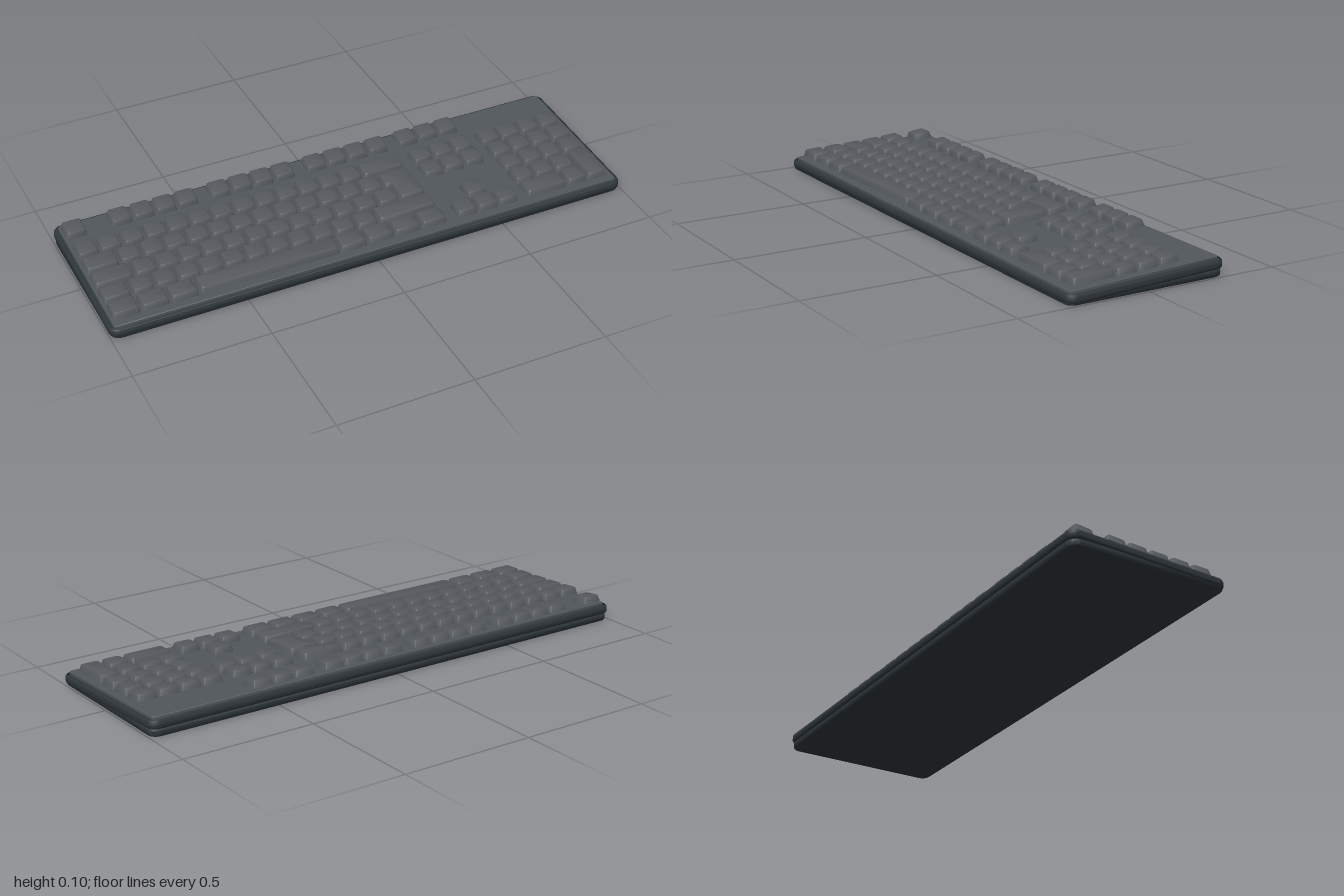
import * as THREE from 'three';
import { toCreasedNormals } from 'three/addons/utils/BufferGeometryUtils.js';

const U = 0.085;   // key pitch
const GAP = 0.008; // space between key bases

// Closed solid through stacked rounded rectangles; sections are [width, depth, radius, y]
function loft(sections, steps = 4, crease = 0.7) {
  const rings = sections.map(([w, d, r, y]) => {
    const ring = [];
    for (let c = 0; c < 4; c++) {
      const sx = c === 0 || c === 3 ? 1 : -1, sz = c < 2 ? 1 : -1;
      for (let s = 0; s <= steps; s++) {
        const a = (c + s / steps) * Math.PI / 2;
        ring.push([sx * (w / 2 - r) + r * Math.cos(a), y, sz * (d / 2 - r) + r * Math.sin(a)]);
      }
    }
    return ring;
  });
  const pos = [], n = rings[0].length;
  const tri = (a, b, c) => pos.push(...a, ...b, ...c);
  const top = rings[rings.length - 1], bottom = rings[0];
  for (let i = 0; i < n; i++) {
    const j = (i + 1) % n;
    for (let k = 0; k < rings.length - 1; k++) {
      const lo = rings[k], up = rings[k + 1];
      tri(lo[i], up[i], lo[j]);
      tri(lo[j], up[i], up[j]);
    }
    tri([0, top[0][1], 0], top[j], top[i]);
    tri([0, bottom[0][1], 0], bottom[i], bottom[j]);
  }
  const g = new THREE.BufferGeometry();
  g.setAttribute('position', new THREE.Float32BufferAttribute(pos, 3));
  return toCreasedNormals(g, crease);
}

// Slab with rounded rim, from y = 0 to y = h
function slab(w, d, r, h, b) {
  const sections = [];
  for (let k = 0; k <= 8; k++) {
    const a = -Math.PI / 2 + (k % 4 + (k === 8 ? 4 : 0)) * Math.PI / 8 + (k >= 4 && k < 8 ? Math.PI / 2 : 0);
    const inset = b * (1 - Math.cos(a));
    if (k === 4) sections.push([w, d, r, b]);
    const y = k < 4 ? b + b * Math.sin(a) : h - b + b * Math.sin(a);
    sections.push([w - 2 * inset, d - 2 * inset, r - inset, y]);
  }
  return loft(sections, 6);
}

// Tapered keycap, sized in key units
const capCache = new Map();
function keycap(uw, ud) {
  const id = uw + 'x' + ud;
  if (!capCache.has(id)) {
    const w = uw * U - GAP, d = ud * U - GAP;
    capCache.set(id, loft([
      [w, d, 0.007, 0],
      [w - 0.009, d - 0.009, 0.008, 0.0205],
      [w - 0.012, d - 0.012, 0.008, 0.0232],
      [w - 0.018, d - 0.018, 0.007, 0.0245],
    ]));
  }
  return capCache.get(id);
}

export function createModel() {
  const model = new THREE.Group();
  const mat = (name, color) => Object.assign(new THREE.MeshStandardMaterial({ color }), { name });
  const caseMat = mat('dark case', 0x2f373c);
  const plateMat = mat('grey plate', 0x51575b);
  const keyMat = mat('grey keys', 0x55595e);
  const add = (parent, name, geometry, material, x = 0, y = 0, z = 0) => {
    const m = new THREE.Mesh(geometry, material);
    m.name = name;
    m.position.set(x, y, z);
    parent.add(m);
    return m;
  };

  // Flat base and the tilted upper case with its raised plate
  add(model, 'baseCase', slab(1.992, 0.612, 0.035, 0.028, 0.008), caseMat, 0, 0, 0.002);
  const upper = new THREE.Group();
  upper.name = 'upperCase';
  upper.position.y = 0.0165;
  upper.rotation.x = 0.038;
  model.add(upper);
  add(upper, 'caseFrame', slab(2, 0.618, 0.035, 0.0325, 0.01), caseMat);
  add(upper, 'topPlate', loft([[1.964, 0.584, 0.012, 0.03], [1.964, 0.584, 0.012, 0.039],
    [1.96, 0.58, 0.01, 0.041]]), plateMat);

  // Rows from the back: depth position, base height, tilt
  const rows = [
    { z: -0.2405, y: 0.0685, tilt: 0.115 },
    { z: -0.113, y: 0.066, tilt: 0.09 },
    { z: -0.028, y: 0.061, tilt: 0.055 },
    { z: 0.057, y: 0.0572, tilt: 0.045 },
    { z: 0.142, y: 0.0548, tilt: 0.035 },
    { z: 0.227, y: 0.0525, tilt: 0.035 },
  ];
  const keys = new THREE.Group();
  keys.name = 'keys';
  model.add(keys);
  const stem = new THREE.BoxGeometry(0.03, 0.014, 0.03);

  // One key at x0 + offset, spanning "deep" rows forward
  function key(name, rowIndex, x0, offset, wide = 1, deep = 1) {
    const a = rows[rowIndex], b = rows[rowIndex + deep - 1];
    const g = new THREE.Group();
    g.name = name;
    g.position.set(x0 + (offset + wide / 2) * U, (a.y + b.y) / 2, (a.z + b.z) / 2);
    g.rotation.x = (a.tilt + b.tilt) / 2;
    add(g, 'cap', keycap(wide, deep), keyMat);
    add(g, 'stem', stem, keyMat, 0, -0.005, 0);
    keys.add(g);
    return g;
  }
  // Run of keys given by widths; negative widths are gaps
  function run(name, rowIndex, x0, widths) {
    let offset = 0;
    for (const w of widths) {
      if (w > 0) key(name, rowIndex, x0, offset, w);
      offset += Math.abs(w);
    }
  }
  const ones = n => Array(n).fill(1);

  // Main block
  const main = -0.979;
  run('functionKey', 0, main, [1, -1, ...ones(4), -0.5, ...ones(4), -0.5, ...ones(4)]);
  run('numberKey', 1, main, [...ones(13), 2]);
  run('letterKey', 2, main, [1.5, ...ones(12)]);
  run('letterKey', 3, main, [1.75, ...ones(12)]);
  run('letterKey', 4, main, [1.25, ...ones(11), 2.75]);
  run('bottomKey', 5, main, [1.25, 1.25, 1.25, 6.25, 1.25, 1.25, 1.25, 1.25]);

  // L-shaped return key: tall block plus a wider back half
  const enter = key('returnKey', 2, main, 13.75, 1.25, 2);
  add(enter, 'returnKeyWing', keycap(1.5, 1), keyMat, -0.125 * U, -0.0003, -U / 2);

  // Navigation block
  const nav = 0.335;
  for (const r of [0, 1, 2, 5]) run('navigationKey', r, nav, ones(3));
  key('upArrowKey', 4, nav, 1);

  // Number pad
  const pad = 0.622;
  for (const r of [1, 2, 3]) run('padKey', r, pad, ones(4));
  run('padKey', 4, pad, ones(3));
  run('padKey', 5, pad, [2, 1]);
  key('padEnterKey', 4, pad, 3, 1, 2);

  return model;
}
